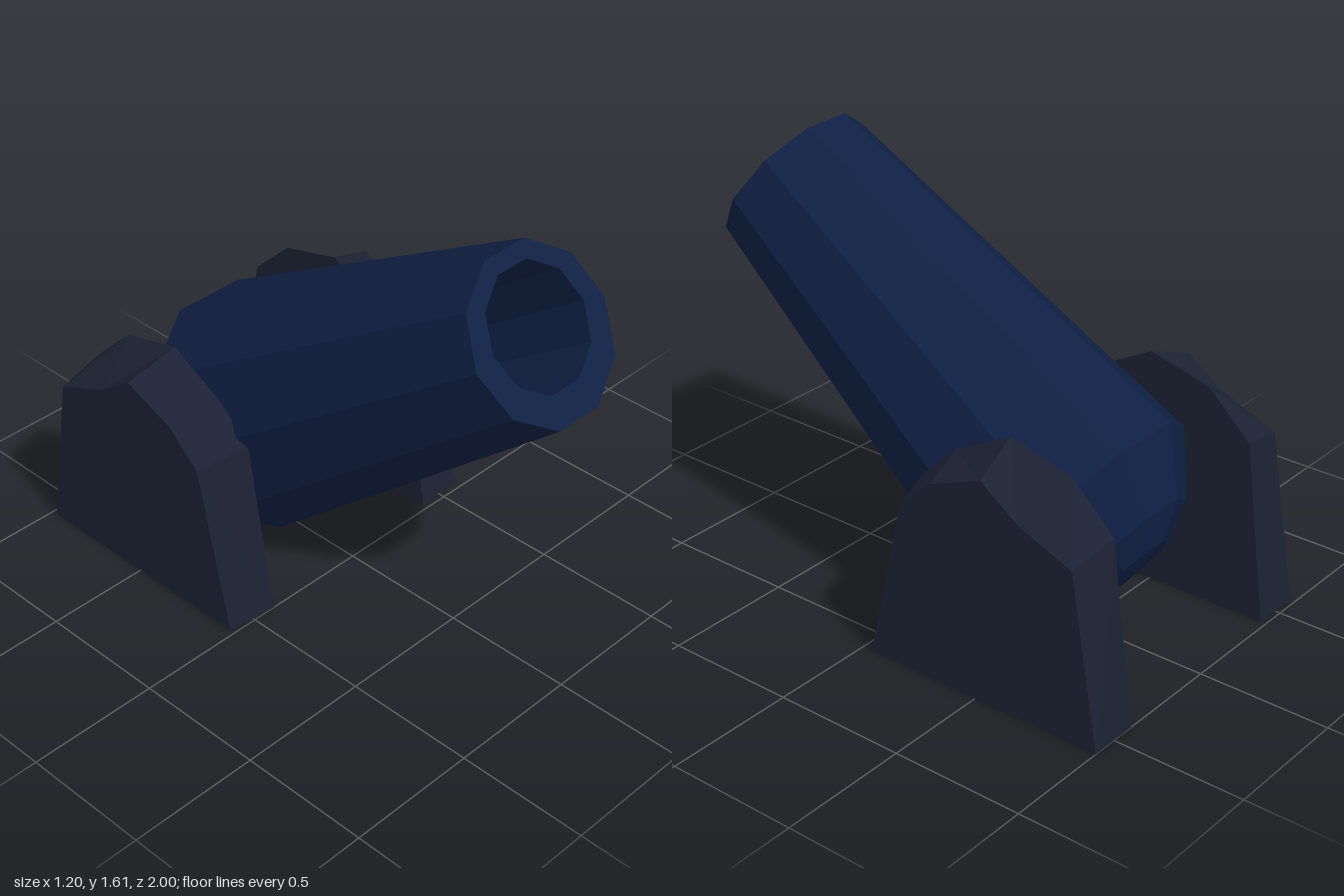
import * as THREE from 'three';

const SIDES = 10;
const AXIS_TILT = 0.964; // tilt of the barrel axis from vertical towards the front

// Barrel: one closed turned profile (radius, distance along the axis from the muzzle)
function barrelGeometry() {
  const outer = [[0, -1.885], [0.16, -1.87], [0.30, -1.80], [0.465, -1.60], [0.31, 0]];
  const bore = [[0.22, 0], [0.2, -1.2], [0, -1.2]];
  const profile = [...outer, ...bore].map(([r, t]) => new THREE.Vector2(r, t));
  const geo = new THREE.LatheGeometry(profile, SIDES, Math.PI / 2);

  // The bore sits slightly high in the muzzle
  const pos = geo.attributes.position;
  for (let i = 0; i < pos.count; i++) {
    if (i % profile.length >= outer.length) pos.setZ(i, pos.getZ(i) - 0.025);
  }
  geo.rotateX(AXIS_TILT);
  geo.translate(0, 1.365, 0.83);
  return geo;
}

// Cheek: loft between a taller inner outline and a lower outer outline, points are (z, y)
const INNER = [[0, 0], [-0.11, 0.66], [-0.24, 0.78], [-0.47, 0.905], [-0.72, 0.84], [-0.89, 0.68], [-0.98, 0]];
const OUTER = [[-0.02, 0], [-0.16, 0.63], [-0.29, 0.75], [-0.5, 0.835], [-0.65, 0.73], [-0.87, 0.64], [-0.98, 0]];

function cheekGeometry(side, shift) {
  const n = INNER.length;
  const place = (x) => ([z, y]) => [side * x, y, z + shift];
  const vertices = [...INNER.map(place(0.405)), ...OUTER.map(place(0.6))].flat();
  const index = [];
  const tri = (a, b, c) => index.push(...(side > 0 ? [a, b, c] : [a, c, b]));
  for (let i = 0; i < n; i++) {
    const j = (i + 1) % n;
    tri(i, n + i, n + j); // rim
    tri(i, n + j, j);
    if (i > 0 && i < n - 1) {
      tri(0, i, i + 1); // inner face
      tri(n, n + i + 1, n + i); // outer face
    }
  }
  const geo = new THREE.BufferGeometry();
  geo.setAttribute('position', new THREE.Float32BufferAttribute(vertices, 3));
  geo.setIndex(index);
  const flat = geo.toNonIndexed();
  flat.computeVertexNormals();
  return flat;
}

export function createModel() {
  const group = new THREE.Group();
  group.name = 'cannon';
  const add = (name, geometry, color) => {
    const mesh = new THREE.Mesh(geometry, new THREE.MeshStandardMaterial({ color, flatShading: true }));
    mesh.name = name;
    group.add(mesh);
  };

  add('barrel', barrelGeometry(), 0x0f2044);

  // Supports on both sides, the left one set slightly further back
  add('leftSupport', cheekGeometry(1, -0.02), 0x1c2133);
  add('rightSupport', cheekGeometry(-1, 0), 0x1c2133);
  return group;
}
